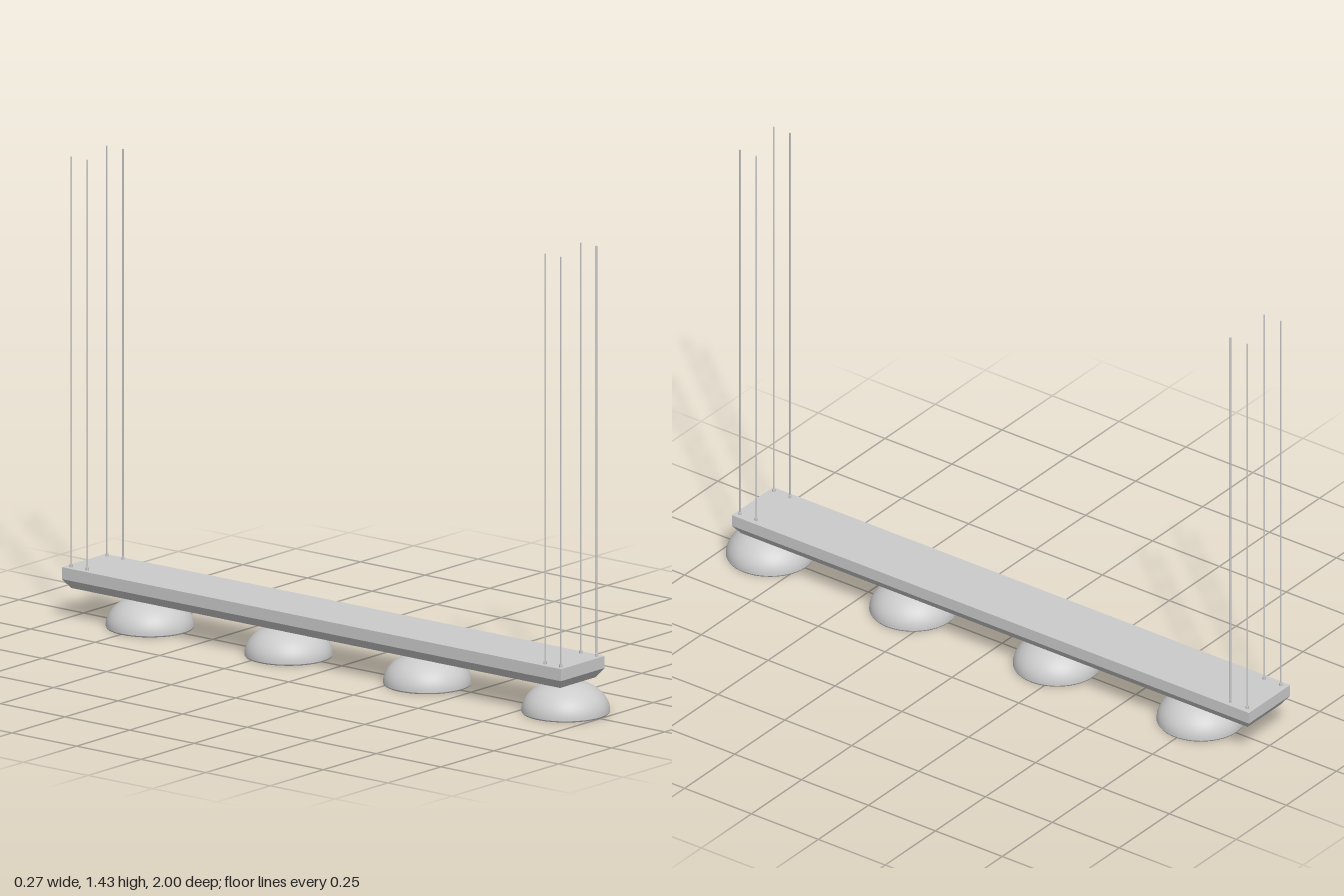
import * as THREE from 'three';

const grey = new THREE.MeshStandardMaterial({ color: 0xcccccc });
const V = (x, y) => new THREE.Vector2(x, y);

function addMesh(parent, name, geometry, x = 0, y = 0, z = 0) {
  const mesh = new THREE.Mesh(geometry, grey);
  mesh.name = name;
  mesh.position.set(x, y, z);
  parent.add(mesh);
  return mesh;
}

// Quarter-ellipse arc from the rim (angle 0) to the crown
function arc(radius, base, height, steps) {
  return Array.from({ length: steps + 1 }, (_, i) => {
    const a = (i / steps) * Math.PI / 2;
    return V(i === steps ? 0 : radius * Math.cos(a), base + height * Math.sin(a));
  });
}

// Beam with its lower edges tapered inward on all four sides
function beamGeometry(width, length, bottom, shoulder, top, inset) {
  const box = new THREE.BoxGeometry(width, top - bottom, length, 1, 2, 1).toNonIndexed();
  const p = box.attributes.position;
  const mid = (bottom + top) / 2;
  for (let i = 0; i < p.count; i++) {
    const y = p.getY(i);
    if (y < -1e-6) {
      p.setX(i, p.getX(i) - Math.sign(p.getX(i)) * inset);
      p.setZ(i, p.getZ(i) - Math.sign(p.getZ(i)) * inset);
    } else if (y < 1e-6) p.setY(i, shoulder - mid);
  }
  box.translate(0, mid, 0);
  box.computeVertexNormals();
  return box;
}

export function createModel() {
  const model = new THREE.Group();
  model.name = 'pendantLight';

  addMesh(model, 'beam', beamGeometry(0.206, 1.933, 0.097, 0.125, 0.162, 0.02), 0, 0, -0.0335);

  // Shade shells, each wall a separate lathe so the rim stays crisp
  const outer = new THREE.LatheGeometry(arc(0.133, 0.004, 0.094, 20), 48);
  const inner = new THREE.LatheGeometry(arc(0.117, 0.004, 0.082, 20).reverse(), 48);
  const rim = new THREE.LatheGeometry([V(0.117, 0.004), V(0.119, 0), V(0.131, 0), V(0.133, 0.004)], 48);
  const bulb = new THREE.SphereGeometry(0.03, 24, 16);
  const socket = new THREE.CylinderGeometry(0.018, 0.018, 0.04, 24);

  for (const z of [0.867, 0.331, -0.206, -0.743]) {
    const lamp = new THREE.Group();
    lamp.name = 'lamp';
    lamp.position.z = z;
    addMesh(lamp, 'shadeOuter', outer);
    addMesh(lamp, 'shadeInner', inner);
    addMesh(lamp, 'shadeRim', rim);
    addMesh(lamp, 'bulb', bulb, 0, 0.034, 0);
    addMesh(lamp, 'socket', socket, 0, 0.068, 0);
    model.add(lamp);
  }

  // Suspension cables in pairs near each corner
  const cable = new THREE.CylinderGeometry(0.0025, 0.0025, 1.27, 10);
  const ferrule = new THREE.CylinderGeometry(0.005, 0.005, 0.012, 12);
  for (const x of [-0.084, 0.084]) {
    for (const z of [0.917, 0.856, -0.917, -0.979]) {
      addMesh(model, 'cable', cable, x, 0.795, z);
      addMesh(model, 'cableFerrule', ferrule, x, 0.165, z);
    }
  }
  return model;
}
